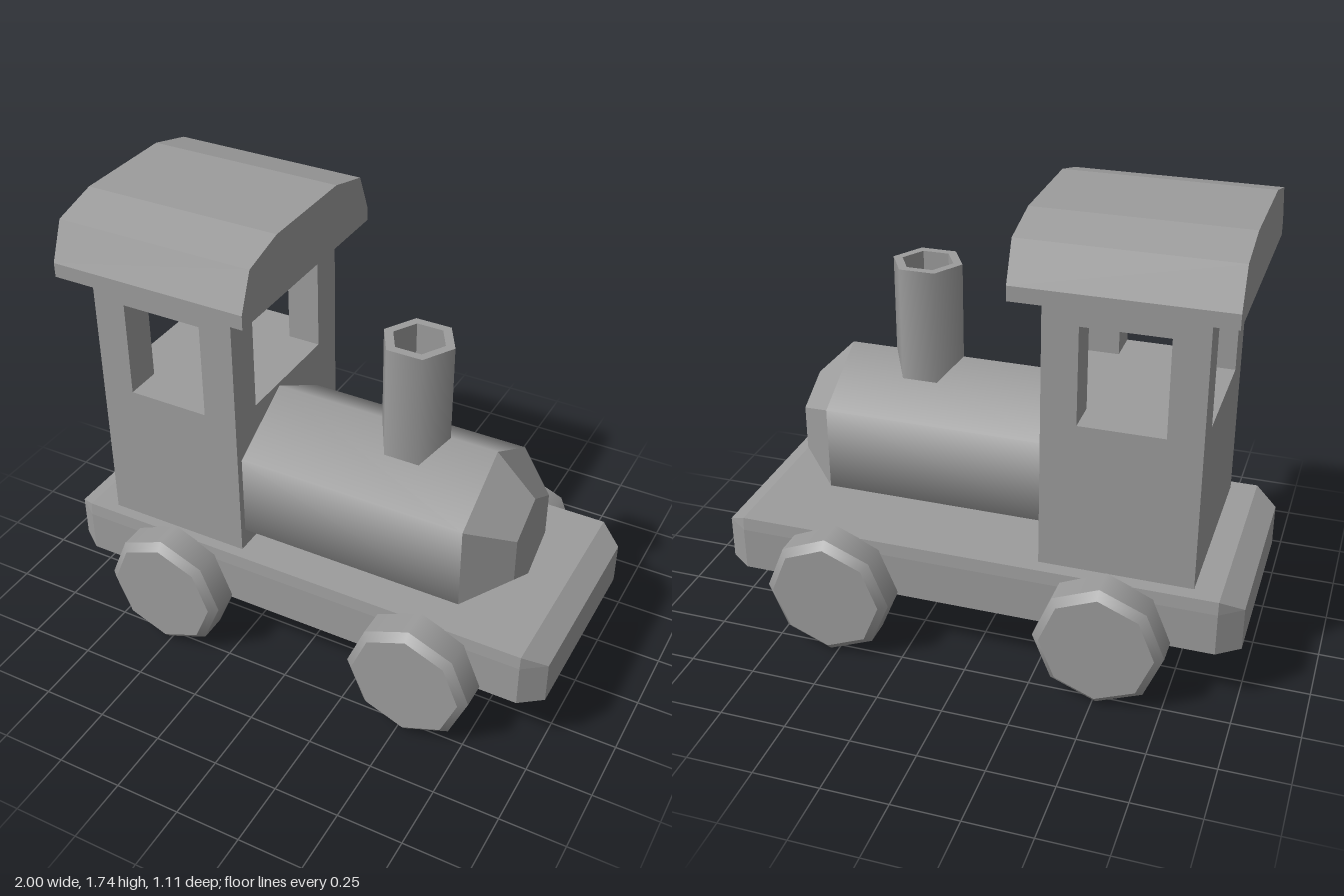
import * as THREE from 'three';

const GREY = 0x9c9c9c;
const smooth = new THREE.MeshStandardMaterial({ color: GREY });
const flat = new THREE.MeshStandardMaterial({ color: GREY, flatShading: true });
const inside = new THREE.MeshStandardMaterial({ color: GREY, flatShading: true, side: THREE.BackSide });

// Joins cross-sections (same point count, listed bottom to top) and closes both ends
function loft(rings) {
  const pos = [];
  const n = rings[0].length;
  const tri = (a, b, c) => pos.push(...a, ...b, ...c);
  for (let r = 0; r < rings.length - 1; r++) {
    for (let i = 0; i < n; i++) {
      const j = (i + 1) % n;
      const lo = rings[r], hi = rings[r + 1];
      tri(lo[i], hi[i], lo[j]);
      tri(lo[j], hi[i], hi[j]);
    }
  }
  const top = rings[rings.length - 1];
  for (let i = 1; i < n - 1; i++) {
    tri(rings[0][0], rings[0][i], rings[0][i + 1]);
    tri(top[0], top[i + 1], top[i]);
  }
  const geo = new THREE.BufferGeometry();
  geo.setAttribute('position', new THREE.Float32BufferAttribute(pos, 3));
  geo.computeVertexNormals();
  return geo;
}

// Rectangle with cut corners, as an eight-point ring at height y
function cutRect(y, endX, endZ, sideX, sideZ) {
  return [
    [endX, y, -endZ], [endX, y, endZ], [sideX, y, sideZ], [-sideX, y, sideZ],
    [-endX, y, endZ], [-endX, y, -endZ], [-sideX, y, -sideZ], [sideX, y, -sideZ],
  ];
}

export function createModel() {
  const model = new THREE.Group();
  const add = (name, geo, mat = flat, parent = model) => {
    const mesh = new THREE.Mesh(geo, mat);
    mesh.name = name;
    parent.add(mesh);
    return mesh;
  };
  const box = (name, x0, x1, y0, y1, z0, z1, parent) => add(name,
    new THREE.BoxGeometry(x1 - x0, y1 - y0, z1 - z0)
      .translate((x0 + x1) / 2, (y0 + y1) / 2, (z0 + z1) / 2), flat, parent);

  // Chassis: cut corners and a bevelled upper edge
  add('chassis', loft([
    cutRect(0.23, 1, 0.365, 0.915, 0.428),
    cutRect(0.397, 1, 0.365, 0.915, 0.428),
    cutRect(0.447, 0.915, 0.423, 0.915, 0.423),
  ]));

  // Cab: solid lower half, four corner posts and a lintel
  const cab = new THREE.Group();
  cab.name = 'cab';
  model.add(cab);
  box('cabBody', -0.816, -0.243, 0.44, 1.026, -0.367, 0.38, cab);
  box('cabLintel', -0.816, -0.243, 1.397, 1.5, -0.367, 0.38, cab);
  for (const [x0, x1] of [[-0.816, -0.688], [-0.373, -0.243]]) {
    for (const [z0, z1] of [[-0.367, -0.232], [0.24, 0.38]]) {
      box('cabPost', x0, x1, 1.026, 1.397, z0, z1, cab);
    }
  }

  // Roof: faceted arch running along x
  const arch = new THREE.Shape([
    [-0.456, 1.49], [0.445, 1.49], [0.445, 1.545], [0.385, 1.69],
    [0.203, 1.737], [-0.217, 1.737], [-0.396, 1.69], [-0.456, 1.545],
  ].map(([u, v]) => new THREE.Vector2(u, v)));
  add('roof', new THREE.ExtrudeGeometry(arch, { depth: 0.77, bevelEnabled: false })
    .rotateY(Math.PI / 2).translate(-0.915, 0, 0));

  // Boiler and tapered nose, both six-sided with a corner on top
  const hexAlongX = (rFront, rBack, x0, x1) =>
    new THREE.CylinderGeometry(rFront, rBack, x1 - x0, 6, 1, false, Math.PI / 2)
      .rotateZ(-Math.PI / 2).translate((x0 + x1) / 2, 0.686, 0.07);
  add('boiler', hexAlongX(0.326, 0.326, -0.26, 0.64), smooth);
  add('nose', hexAlongX(0.173, 0.326, 0.64, 0.793));

  // Hollow six-sided chimney
  const chimney = new THREE.Group();
  chimney.name = 'chimney';
  chimney.position.set(0.324, 0, 0.071);
  model.add(chimney);
  const tube = (r) => new THREE.CylinderGeometry(r, r, 0.465, 6, 1, true, Math.PI / 2).translate(0, 1.1525, 0);
  add('chimneyOuter', tube(0.136), smooth, chimney);
  add('chimneyInner', tube(0.1), inside, chimney);
  add('chimneyRim', new THREE.RingGeometry(0.1, 0.136, 6).rotateX(-Math.PI / 2).translate(0, 1.385, 0), flat, chimney);

  // Eight-sided wheels with a bevelled outer edge
  for (const x of [-0.512, 0.53]) {
    for (const side of [1, -1]) {
      const wheel = new THREE.Group();
      wheel.name = 'wheel';
      wheel.position.set(x, 0.2425, 0.42 * side);
      wheel.rotation.x = side * Math.PI / 2;
      model.add(wheel);
      add('wheelTread', new THREE.CylinderGeometry(0.2425, 0.2425, 0.108, 8).translate(0, 0.054, 0), smooth, wheel);
      add('wheelBevel', new THREE.CylinderGeometry(0.212, 0.2425, 0.027, 8).translate(0, 0.1215, 0), smooth, wheel);
    }
  }
  return model;
}
